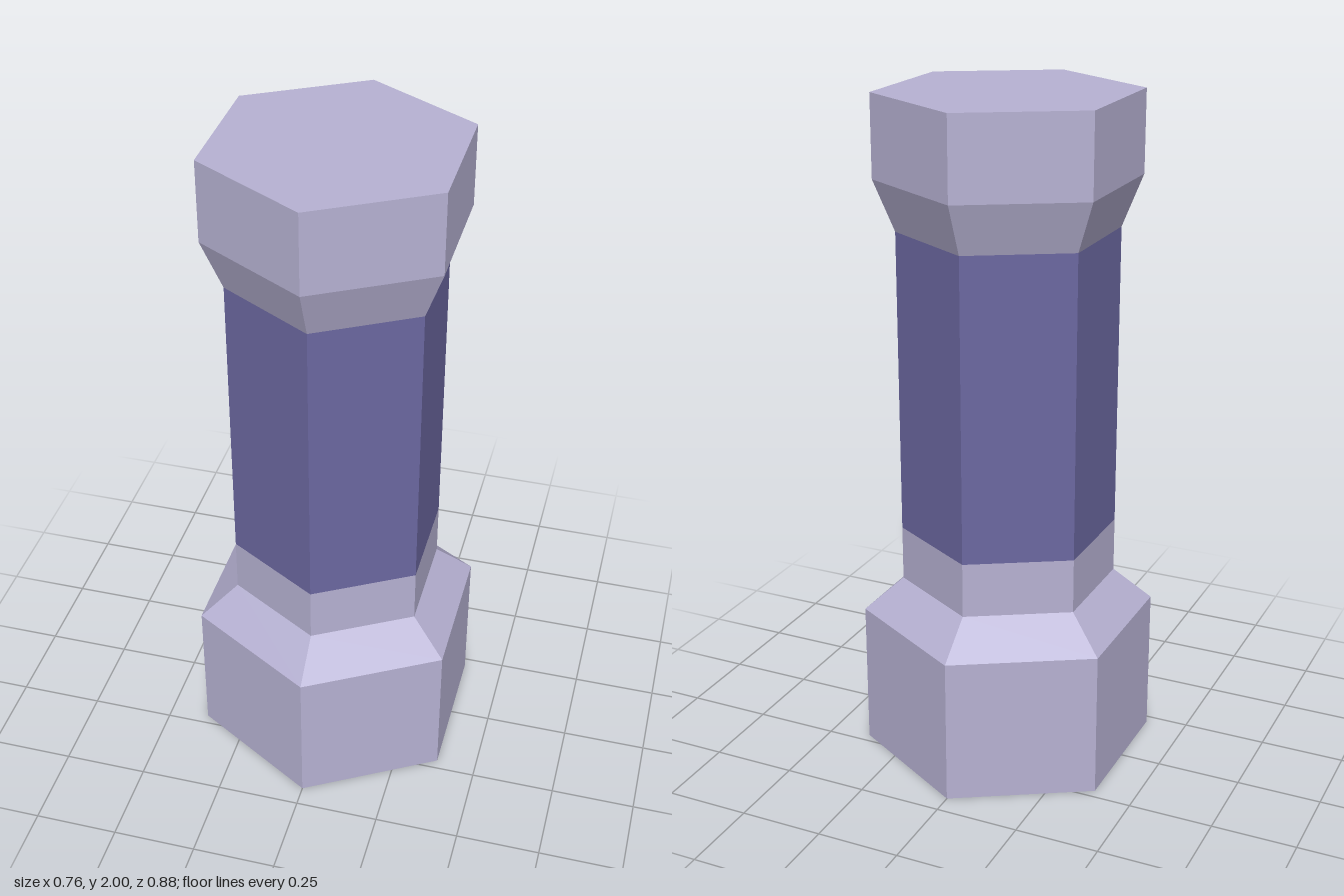
import * as THREE from 'three';

const SIDES = 6;

// Hexagonal shell from a bottom-to-top profile of [radius, height]
function hexPart(name, color, profile) {
  const points = profile.map(([r, y]) => new THREE.Vector2(r, y));
  const geometry = new THREE.LatheGeometry(points, SIDES);
  const material = new THREE.MeshStandardMaterial({ color, flatShading: true });
  const mesh = new THREE.Mesh(geometry, material);
  mesh.name = name;
  return mesh;
}

export function createModel() {
  const model = new THREE.Group();
  model.name = 'hexHandle';

  const metal = 0xb6b1d2;
  const wrap = 0x6b67a0;

  model.add(
    // Wide foot, sloped shoulder and short neck
    hexPart('base', metal, [[0, 0], [0.438, 0], [0.438, 0.44], [0.32, 0.54], [0.32, 0.705]]),
    // Dark middle section
    hexPart('grip', wrap, [[0.32, 0.705], [0.32, 1.61]]),
    // Flared head with a flat top
    hexPart('head', metal, [[0.32, 1.61], [0.381, 1.76], [0.381, 2], [0, 2]]),
  );
  return model;
}
